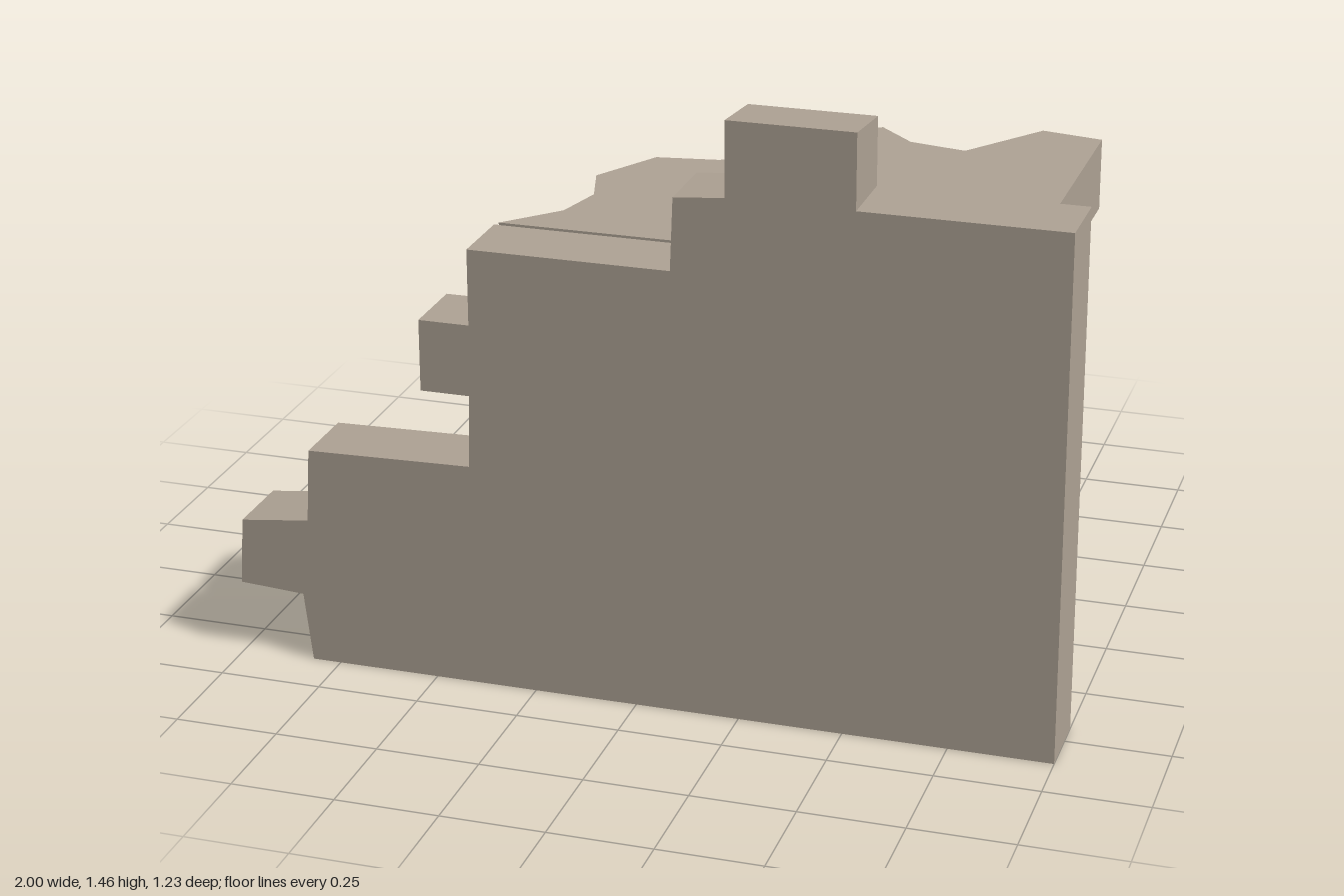
import * as THREE from 'three';

const THICKNESS = 0.18;

function slab(points, name, material) {
  const shape = new THREE.Shape(points.map(([x, y]) => new THREE.Vector2(x, y)));
  const geometry = new THREE.ExtrudeGeometry(shape, { depth: THICKNESS, bevelEnabled: false });
  const mesh = new THREE.Mesh(geometry, material);
  mesh.name = name;
  return mesh;
}

export function createModel() {
  const group = new THREE.Group();
  group.name = 'ruinedWallWithFloor';
  const stone = new THREE.MeshStandardMaterial({ color: 0xb0a496, flatShading: true });
  stone.name = 'stone';

  // Broken wall with stepped brick edge, in x and y
  const wall = slab([
    [-0.82, 0], [1, 0], [1, 1.28], [0.515, 1.28], [0.515, 1.46], [0.215, 1.46],
    [0.215, 1.28], [0.095, 1.27], [0.088, 1.095], [-0.397, 1.095], [-0.397, 0.91],
    [-0.52, 0.91], [-0.52, 0.735], [-0.4, 0.735], [-0.405, 0.557], [-0.81, 0.547],
    [-0.82, 0.365], [-0.99, 0.345], [-1, 0.18], [-0.84, 0.17],
  ], 'wall', stone);
  wall.position.z = 0.435;
  // The topmost brick slopes down slightly to the back
  const p = wall.geometry.attributes.position;
  for (let i = 0; i < p.count; i++) {
    if (p.getY(i) > 1.4 && p.getZ(i) < 0.01) p.setY(i, 1.443);
  }
  wall.geometry.computeVertexNormals();
  group.add(wall);

  // Broken upper floor with jagged edge, in x and z
  const floor = slab([
    [-0.385, 0.436], [0.83, 0.436], [0.83, -0.585], [0.675, -0.615], [0.525, -0.4],
    [0.38, -0.43], [0.285, -0.525], [0.12, -0.4], [0.09, -0.26], [-0.03, -0.155],
    [-0.185, -0.13], [-0.28, 0.045], [-0.24, 0.18], [-0.27, 0.31],
  ].map(([x, z]) => [x, -z]), 'upperFloor', stone);
  floor.geometry.rotateX(-Math.PI / 2);
  floor.position.y = 0.921;
  group.add(floor);

  return group;
}
